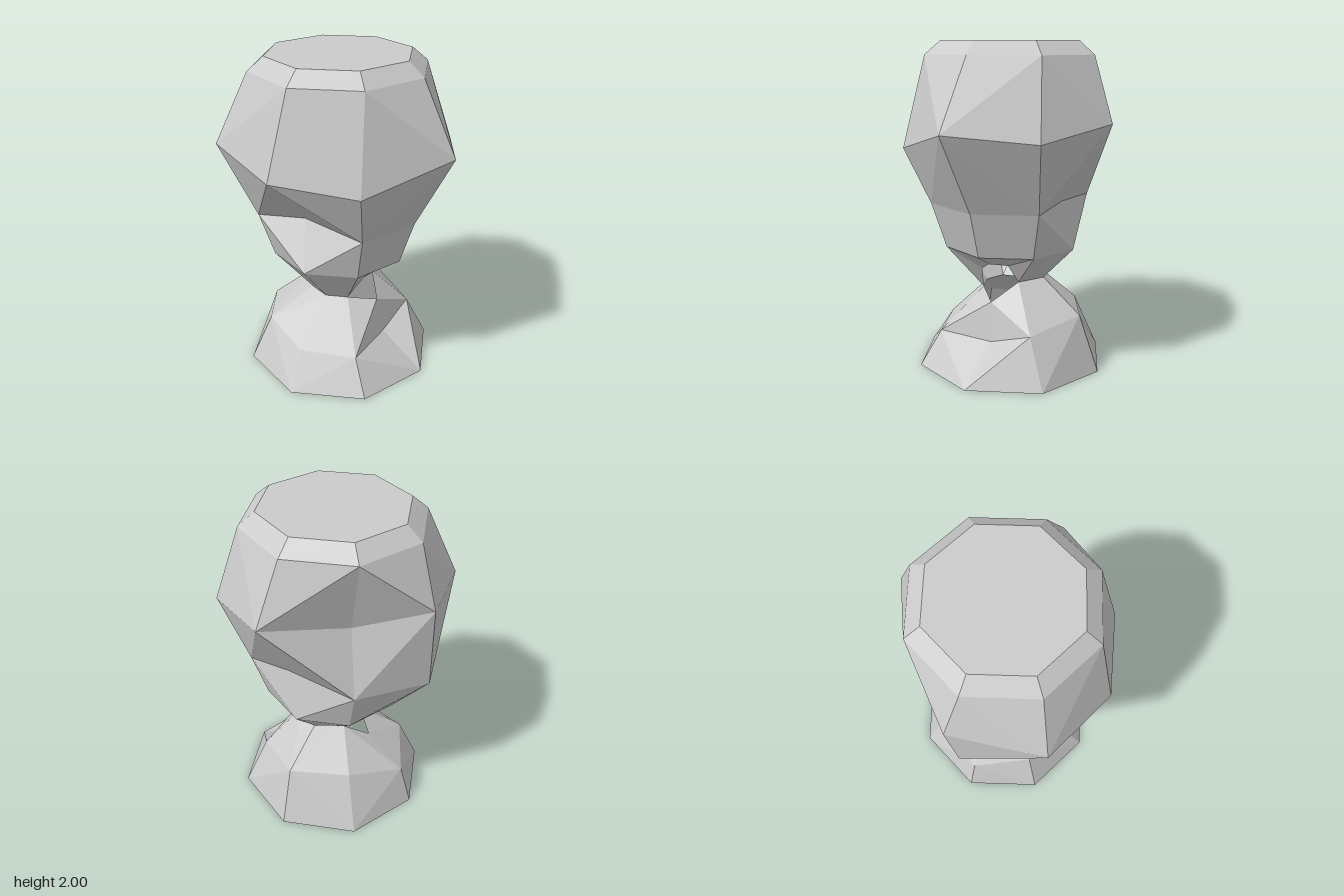
import * as THREE from 'three';

const CX = -0.05; // axis of the bust
const grey = () => new THREE.MeshStandardMaterial({ color: 0xcccccc, flatShading: true, side: THREE.DoubleSide });

// Eight-sided ring, column 0 at +x and column 2 at the front; single corners can be moved.
function ring(r, y, moved = {}) {
  return Array.from({ length: 8 }, (_, k) => {
    const a = k * Math.PI / 4;
    return new THREE.Vector3(...(moved[k] || [CX + r * Math.cos(a), y, r * Math.sin(a)]));
  });
}
const pts = list => list.map(p => new THREE.Vector3(...p));

const reach = (p, q) => Math.hypot((p.x + q.x) / 2 - CX, (p.z + q.z) / 2);

// Quad a-b (lower), d-c (upper), split along the diagonal that bulges outward.
function quad(out, a, b, c, d) {
  if (reach(a, c) >= reach(b, d)) out.push(a, d, c, a, c, b);
  else out.push(a, d, b, d, c, b);
}
function band(lower, upper, columns = [0, 1, 2, 3, 4, 5, 6, 7]) {
  const out = [];
  for (const k of columns) {
    const n = (k + 1) % 8;
    quad(out, lower[k], lower[n], upper[n], upper[k]);
  }
  return out;
}
function part(name, corners) {
  const mesh = new THREE.Mesh(new THREE.BufferGeometry().setFromPoints(corners), grey());
  mesh.geometry.computeVertexNormals();
  mesh.name = name;
  return mesh;
}

export function createModel() {
  const model = new THREE.Group();
  model.name = 'bust';

  // Rings from the base up
  const base = ring(0.6, 0);
  const shoulder = pts([
    [0.26, 0.2, -0.02], [0.26, 0.21, 0.34], [-0.07, 0.22, 0.455], [-0.38, 0.29, 0.33],
    [-0.57, 0.25, 0], [-0.36, 0.35, -0.31], [-0.03, 0.355, -0.48], [0.29, 0.295, -0.3]]);
  const neck = pts([
    [0.22, 0.44, 0], [0.08, 0.48, 0.13], [CX, 0.48, 0.18], [-0.18, 0.48, 0.13],
    [-0.32, 0.44, 0], [-0.21, 0.555, -0.13], [CX, 0.555, -0.225], [0.11, 0.555, -0.13]]);
  const jaw = ring(0.42, 0.76);
  const cheek = ring(0.51, 1.04, { 2: [-0.14, 1.04, 0.26], 4: [-0.7, 1.04, 0], 6: [0.02, 1.07, -0.37] });
  const brow = pts([
    [0.705, 1.51, 0.04], [0.38, 1.375, 0.505], [-0.105, 1.42, 0.665], [-0.585, 1.505, 0.49],
    [-0.71, 1.57, -0.05], [-0.34, 1.47, -0.29], [0.01, 1.54, -0.67], [0.465, 1.46, -0.44]]);
  const crown = ring(0.53, 1.92);
  const top = ring(0.435, 2);

  model.add(part('chest', band(base, shoulder)));
  model.add(part('shoulders', band(shoulder, neck)));

  // Neck: a front and a back strut with an opening through the sides
  model.add(part('frontNeck', band(neck, jaw, [1, 2])));
  model.add(part('backNeck', band(neck, jaw, [5, 6])));

  // Underside of the jaw above each side opening
  for (const [name, s, side, front, back] of [['leftJaw', 1, 0, 1, 7], ['rightJaw', -1, 4, 3, 5]]) {
    const [f, m, b] = pts([[CX + s * 0.22, 0.63, 0.09], [CX + s * 0.3, 0.69, 0], [CX + s * 0.22, 0.67, -0.09]]);
    const faces = [
      neck[front], f, jaw[front], f, m, jaw[front], m, jaw[side], jaw[front],
      m, b, jaw[back], m, jaw[back], jaw[side], b, neck[back], jaw[back]];
    model.add(part(name, s > 0 ? faces.reverse() : faces));
  }

  model.add(part('lowerFace', band(jaw, cheek)));
  model.add(part('upperFace', band(cheek, brow)));
  model.add(part('skull', band(brow, crown)));
  model.add(part('crownBevel', band(crown, top)));

  // Flat top
  const cap = [];
  for (let k = 1; k < 7; k++) cap.push(top[0], top[k + 1], top[k]);
  model.add(part('crownTop', cap));

  return model;
}
